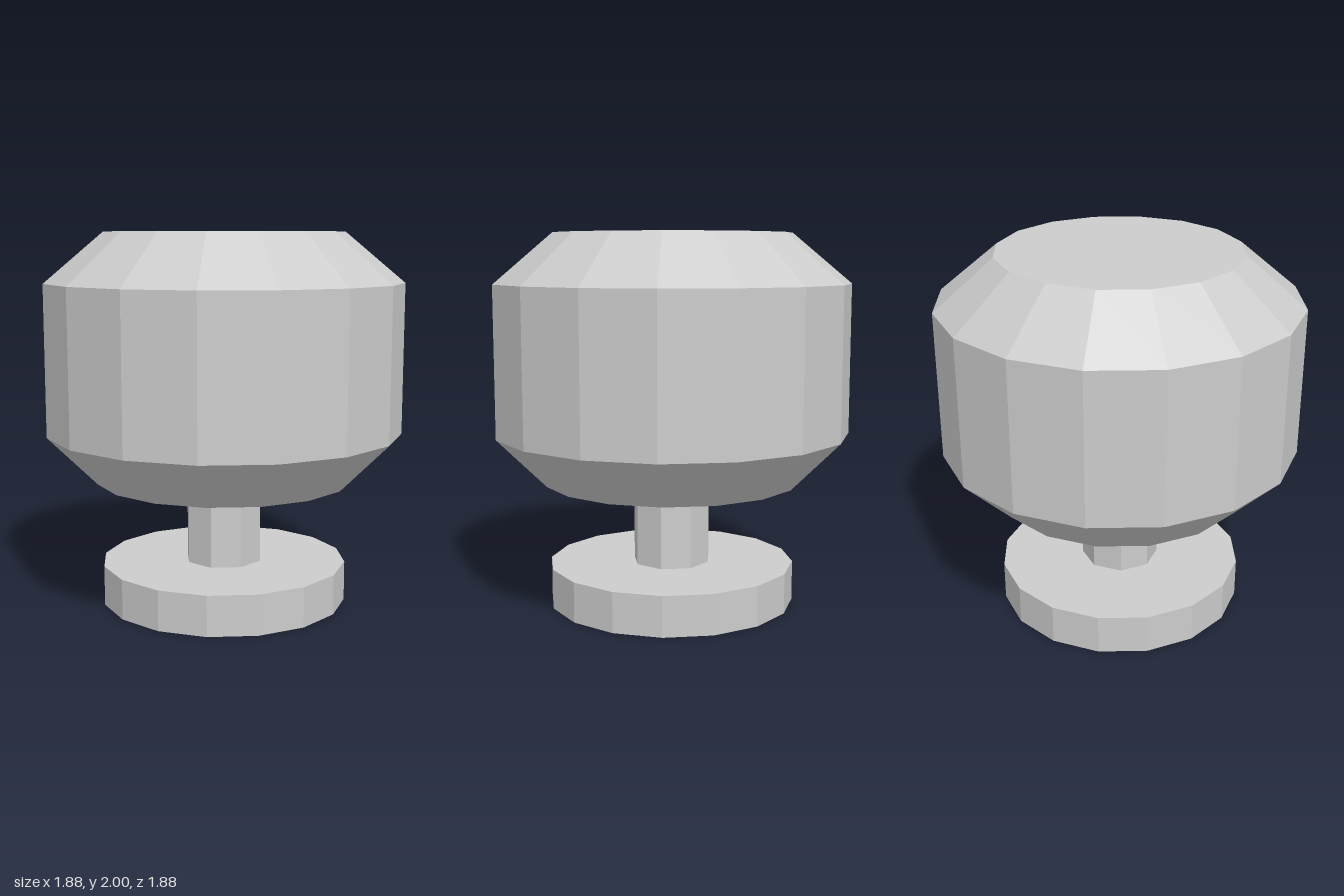
import * as THREE from 'three';

// Faceted solid of revolution, with flat sides facing the x and z axes.
// Rings are [distance from axis to flat side, height], from bottom to top.
function prism(name, rings, sides, material) {
  const toCorner = 1 / Math.cos(Math.PI / sides);
  const points = rings.map(([r, y]) => new THREE.Vector2(r * toCorner, y));
  points.unshift(new THREE.Vector2(0, rings[0][1]));
  points.push(new THREE.Vector2(0, rings[rings.length - 1][1]));
  const mesh = new THREE.Mesh(new THREE.LatheGeometry(points, sides, Math.PI / sides), material);
  mesh.name = name;
  return mesh;
}

export function createModel() {
  const metal = new THREE.MeshStandardMaterial({ color: 0xcccccc, flatShading: true });
  metal.name = 'light grey metal';

  const knob = new THREE.Group();
  knob.name = 'knob';
  knob.add(
    // Round mounting plate
    prism('basePlate', [[0.655, 0], [0.655, 0.215]], 16, metal),
    // Narrow neck
    prism('stem', [[0.195, 0.215], [0.195, 0.67]], 8, metal),
    // Bevelled grip
    prism('head', [[0.68, 0.67], [0.94, 0.935], [0.94, 1.735], [0.63, 2]], 16, metal)
  );
  return knob;
}
